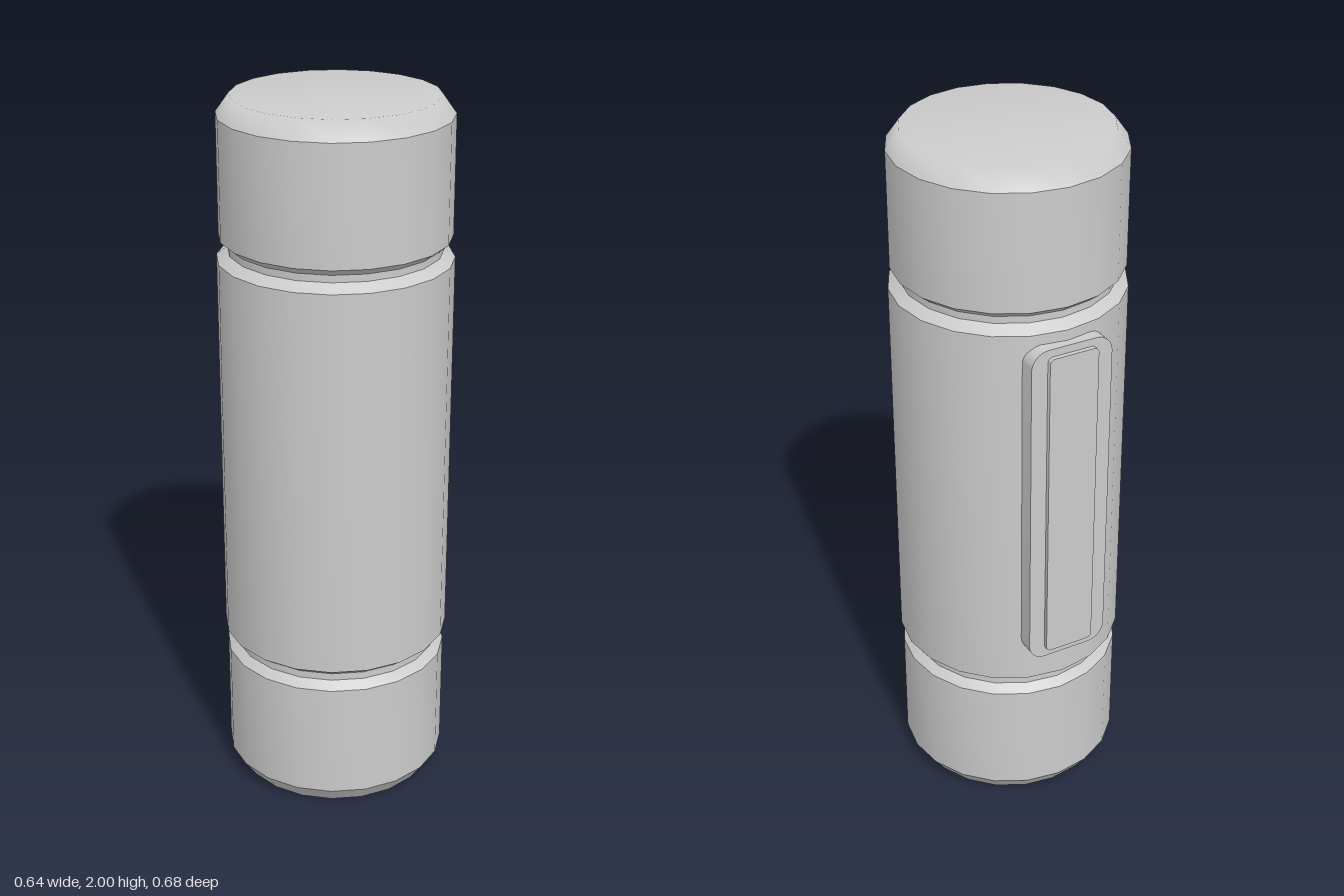
import * as THREE from 'three';
import { toCreasedNormals } from 'three/addons/utils/BufferGeometryUtils.js';

const SIDES = 20;
const grey = new THREE.MeshStandardMaterial({ color: 0xcccccc, side: THREE.DoubleSide });

function add(parent, name, geometry) {
  const mesh = new THREE.Mesh(geometry, grey);
  mesh.name = name;
  parent.add(mesh);
  return mesh;
}

// Turned shell from a bottom-to-top [radius, height] profile
const turned = (profile) =>
  new THREE.LatheGeometry(profile.map(([r, y]) => new THREE.Vector2(r, y)), SIDES);

// Upright plate with rounded corners, spanning z0 to z1
function plate(halfWidth, y0, y1, radius, z0, z1) {
  const s = new THREE.Shape();
  const w = halfWidth, r = radius, q = Math.PI / 2;
  s.absarc(w - r, y0 + r, r, -q, 0);
  s.absarc(w - r, y1 - r, r, 0, q);
  s.absarc(-w + r, y1 - r, r, q, 2 * q);
  s.absarc(-w + r, y0 + r, r, 2 * q, 3 * q);
  s.closePath();
  const g = new THREE.ExtrudeGeometry(s, { depth: z1 - z0, bevelEnabled: false, curveSegments: 5 });
  g.translate(0, 0, z0);
  return toCreasedNormals(g, 0.6);
}

export function createModel() {
  const model = new THREE.Group();
  model.name = 'canister';

  const barrel = new THREE.Group();
  barrel.name = 'barrel';
  barrel.position.z = 0.016;
  model.add(barrel);

  // Lower cap is open underneath
  const sections = {
    lowerCap: [[0.28, 0], [0.316, 0.05], [0.316, 0.385], [0.292, 0.407]],
    lowerGroove: [[0.292, 0.407], [0.292, 0.428]],
    body: [[0.292, 0.428], [0.322, 0.45], [0.322, 1.56], [0.292, 1.582]],
    upperGroove: [[0.292, 1.582], [0.292, 1.602]],
    upperCap: [[0.292, 1.602], [0.316, 1.622], [0.316, 1.95]],
  };
  for (const [name, profile] of Object.entries(sections)) {
    add(barrel, name, toCreasedNormals(turned(profile), 0.6));
  }

  // Softly shaded closed top
  add(barrel, 'crown', turned([[0.316, 1.95], [0.28, 2], [0, 2]]));

  // Raised panel on the back
  add(model, 'backPlate', plate(0.119, 0.545, 1.53, 0.05, -0.329, -0.25));
  add(model, 'backInset', plate(0.072, 0.57, 1.508, 0.015, -0.342, -0.32));

  return model;
}
